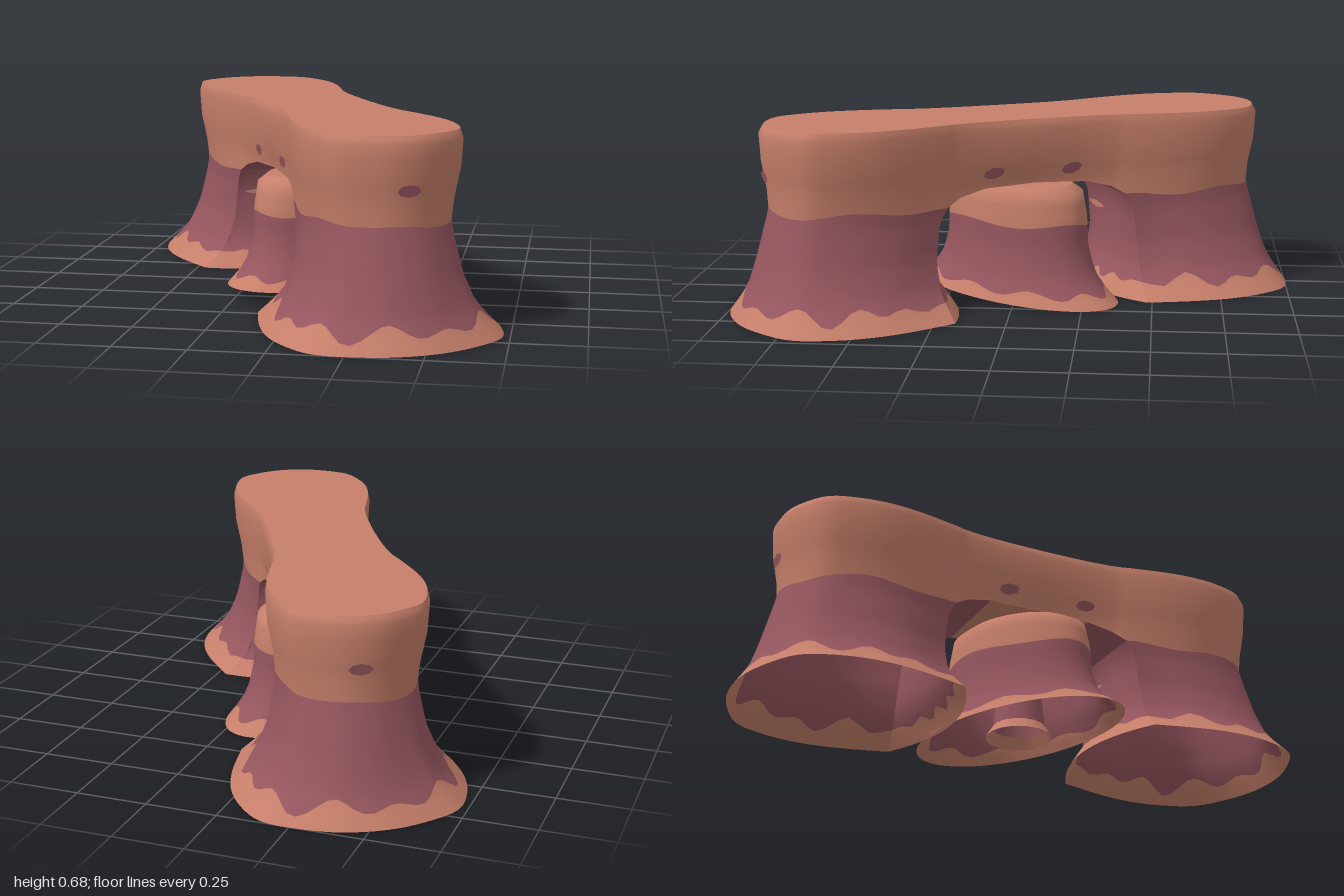
import * as THREE from 'three';
import { mergeVertices } from 'three/addons/utils/BufferGeometryUtils.js';

const sandstone = new THREE.MeshStandardMaterial({ color: 0xc67f6a, side: THREE.DoubleSide });
sandstone.name = 'sandstone';
const redRock = new THREE.MeshStandardMaterial({ color: 0x96565f, side: THREE.DoubleSide });
redRock.name = 'redRock';
const both = [sandstone, redRock];

// Quarter outline of the flat top: [half width, distance along the ridge]
const QUARTER = [[0.215, 0], [0.213, 0.1], [0.213, 0.2], [0.22, 0.3], [0.233, 0.36], [0.265, 0.5],
  [0.277, 0.62], [0.264, 0.73], [0.225, 0.83], [0.14, 0.89], [0.05, 0.922]];
const NECK = 0.36, NECK_INDEX = 4, STEPS = 4;

// Height profile: [y, width scale, length scale, inner wall position, corner pinch, wall bulge]
const LEVELS = [[0, 1.43, 1.235, 0.37, 0, 0.1], [0.05, 1.25, 1.16, 0.38, 0.05, 0.08],
  [0.1, 1.1, 1.09, 0.39, 0.08, 0.05], [0.2, 0.945, 1.035, 0.39, 0.07, 0.03],
  [0.33, 0.85, 1.0, 0.375, 0, 0.01], [0.38, 0.845, 1.03, 0.345, 0, 0],
  [0.45, 0.87, 1.01, 0.36, 0, 0], [0.55, 0.94, 1.04, 0.36, 0, 0],
  [0.645, 0.96, 1.05, 0.36, 0, 0], [0.675, 0.935, 1.02, 0.36, 0, 0]];

// Half profile of the small middle rock: [y, half width, half length]
const STUB = [[0, 0.235, 0.415], [0.05, 0.21, 0.355], [0.1, 0.193, 0.317], [0.2, 0.178, 0.288],
  [0.3, 0.178, 0.285], [0.4, 0.17, 0.265], [0.425, 0.145, 0.22]];

const lerp = THREE.MathUtils.lerp;

function sample(table, y) {
  let i = 1;
  while (i < table.length - 1 && table[i][0] < y) i++;
  const a = table[i - 1], b = table[i];
  const f = THREE.MathUtils.clamp((y - a[0]) / (b[0] - a[0]), 0, 1);
  return a.map((v, k) => lerp(v, b[k], f));
}

// Surface grid; columns run along, rows run up. colourOf(row) picks the material index.
function grid(cols, rows, at, colourOf = () => 0) {
  const pos = [], index = [], geo = new THREE.BufferGeometry();
  for (let j = 0; j < rows; j++) for (let i = 0; i < cols; i++) pos.push(...at(i, j));
  for (let j = 0; j < rows - 1; j++) {
    geo.addGroup(index.length, (cols - 1) * 6, colourOf(j));
    for (let i = 0; i < cols - 1; i++) {
      const a = j * cols + i, b = a + 1, c = a + cols, d = c + 1;
      index.push(a, c, b, b, c, d);
    }
  }
  geo.setAttribute('position', new THREE.Float32BufferAttribute(pos, 3));
  geo.setIndex(index);
  const merged = mergeVertices(geo, 1e-5);
  merged.computeVertexNormals();
  return merged;
}

function add(parent, name, geo, material) {
  const mesh = new THREE.Mesh(geo, material);
  mesh.name = name;
  parent.add(mesh);
  return mesh;
}

// Puts an outline point on the rock surface at height y
function place(t, s, y) {
  const [, kt, ks, s0, pinch] = sample(LEVELS, y);
  const a = Math.abs(s), f = Math.min(1, a / NECK);
  const along = a >= NECK ? s0 + (a - NECK) * ks : a * s0 / NECK;
  const corner = 1 - pinch * THREE.MathUtils.clamp(1 - (a - NECK) / 0.16, 0, 1);
  return [t * lerp(kt * kt, kt, f) * corner, y, Math.sign(s) * along];
}

// Point on a pillar's inner wall, u from -1 to 1 across it
function wallPoint(u, y, lift = 0) {
  const p = place(QUARTER[NECK_INDEX][0], NECK, y);
  return [p[0] * u, y, p[2] - sample(LEVELS, y)[5] * (1 - u * u) - lift];
}

// Wavy colour borders, flat at the inner corners
function around(t, s) {
  const sg = s < 0 ? -1 : 1;
  return { angle: Math.atan2(sg * s - 0.62, sg * t), fade: THREE.MathUtils.clamp((Math.abs(s) - NECK) * 10, 0, 1) };
}
function upperBorder(t, s) {
  const { angle, fade } = around(t, s);
  return 0.38 + fade * (0.006 * Math.sin(angle * 5) + 0.006 * Math.sin(angle * 3 + 1));
}
function lowerBorder(t, s) {
  const { angle, fade } = around(t, s);
  return 0.06 + fade * (0.018 * Math.sin(angle * 11) + 0.013 * Math.sin(angle * 7 + 2));
}
const ARCH = [[0, 0.44], [0.2, 0.433], [0.3, 0.41], [0.36, 0.38]];
const bottomOf = (t, s) => Math.abs(s) > NECK ? upperBorder(t, s) : sample(ARCH, Math.abs(s))[1];

export function createModel() {
  const model = new THREE.Group();
  model.name = 'rockArch';
  const ridge = new THREE.Group();
  ridge.name = 'ridge';
  ridge.rotation.y = Math.atan2(0.46, 0.89);
  model.add(ridge);

  // Smooth closed outline, and the part of it around one pillar
  const half = [...QUARTER, ...QUARTER.slice(1).map(([t, s]) => [-t, s]).reverse()];
  const corners = [...half, ...half.map(([t, s]) => [-t, -s])];
  const curve = new THREE.CatmullRomCurve3(corners.map(([t, s]) => new THREE.Vector3(t, 0, s)), true, 'catmullrom');
  const count = corners.length * STEPS, ring = [];
  for (let i = 0; i <= count; i++) {
    const p = curve.getPoint(i / count);
    ring.push([p.x, p.z]);
  }
  const mirrorIndex = 2 * QUARTER.length - 1 - NECK_INDEX;
  const lobe = ring.slice(NECK_INDEX * STEPS, mirrorIndex * STEPS + 1);

  // Upper block with its waist, bevel and flat top
  const heights = [0.45, 0.5, 0.55, 0.6, 0.645, 0.665, 0.675];
  add(ridge, 'upperBlock', grid(ring.length, heights.length + 1, (i, j) => {
    const [t, s] = ring[i];
    return place(t, s, j ? heights[j - 1] : bottomOf(t, s));
  }), sandstone);
  add(ridge, 'flatTop', grid(ring.length, 2, (i, j) => {
    const p = place(ring[i][0], ring[i][1], 0.675);
    return [j ? 0 : p[0], p[1], p[2]];
  }), sandstone);

  // Underside of the bridge, red towards the pillars
  const spans = [-0.36, -0.3, -0.2, -0.1, 0, 0.1, 0.2, 0.3, 0.36];
  const widthAt = s => sample(QUARTER.map(([t, d]) => [d, t]), Math.abs(s))[1];
  add(ridge, 'archUnderside', grid(7, spans.length, (i, j) => {
    const s = spans[j], p = place(widthAt(s), s, bottomOf(0, s));
    return [p[0] * (1 - i / 3), p[1], p[2]];
  }, j => (j < 2 || j > 5 ? 1 : 0)), both);

  // Two hollow pillars with flared feet and bulging inner walls
  const footRows = 4, bandRows = 10;
  const shell = grid(lobe.length, footRows + bandRows + 1, (i, j) => {
    const [t, s] = lobe[i], low = lowerBorder(t, s), high = upperBorder(t, s);
    return place(t, s, j <= footRows ? low * j / footRows : lerp(low, high, (j - footRows) / bandRows));
  }, j => (j < footRows ? 0 : 1));
  const wallHeights = [0, 0.03, 0.06, 0.1, 0.15, 0.2, 0.27, 0.33, 0.38];
  const wall = grid(25, wallHeights.length, (i, j) => {
    const u = i / 12 - 1;
    return wallPoint(u, wallHeights[j] + (j < 3 ? 0.0075 * j * Math.sin(i * 1.3) * (1 - u * u) : 0));
  }, j => (j < 2 ? 0 : 1));
  const streak = grid(9, 2, (i, j) =>
    wallPoint(0.1 + i * 0.095, 0.29 + (j ? 1 : -1) * 0.012 * Math.sin(Math.PI * (i + 0.5) / 9), 0.004));
  const disc = new THREE.CircleGeometry(1, 8);
  const forward = new THREE.Vector3(0, 0, 1);
  for (const [name, turn, sideSpots] of [['frontPillar', 0, [-0.135, 0.165]], ['backPillar', Math.PI, [-0.18, 0.13]]]) {
    const pillar = new THREE.Group();
    pillar.name = name;
    pillar.rotation.y = turn;
    add(pillar, 'pillarShell', shell, both);
    add(pillar, 'innerWall', wall, both);
    add(pillar, 'wallStreak', streak, sandstone);
    // Small red patches lying on the end and the side
    const addPatch = (label, t, s, x, y, normalOf) => {
      const p = place(t, s, y), q = place(t, s, y + 0.03);
      const normal = normalOf(q[0] - p[0], q[2] - p[2]).normalize();
      const patch = add(pillar, label, disc, redRock);
      patch.position.set(x ?? p[0], y, p[2]).addScaledVector(normal, 0.006);
      patch.quaternion.setFromUnitVectors(forward, normal);
      patch.scale.set(0.04, 0.021, 1);
    };
    addPatch('endPatch', 0.05, 0.925, 0, 0.5, (dx, dz) => new THREE.Vector3(0, -dz, 0.03));
    for (const s of sideSpots)
      addPatch('sidePatch', widthAt(s), s, undefined, 0.49, dx => new THREE.Vector3(0.03, -dx, 0));
    ridge.add(pillar);
  }

  // Small oval rock under the bridge, set across the ridge and slightly tilted
  const stub = new THREE.Group();
  stub.name = 'middleRock';
  stub.rotation.y = -0.53;
  model.add(stub);
  const N = 72;
  const stubPoint = (i, y, shrink = 1) => {
    const a = i / N * Math.PI * 2;
    const [, w, l] = sample(STUB, y);
    const x = Math.cos(a) * w * shrink, z = Math.sin(a) * l * shrink;
    return [x, y + (0.022 + 0.055 * z) * Math.max(0, 1 - y / 0.4), z];
  };
  const stubLow = i => 0.04 + 0.012 * Math.sin(i / N * Math.PI * 18);
  const stubHigh = i => 0.285 + 0.008 * Math.sin(i / N * Math.PI * 8);
  add(stub, 'middleBody', grid(N + 1, 13, (i, j) => {
    const low = stubLow(i), high = stubHigh(i);
    if (j <= 2) return stubPoint(i, low * j / 2);
    if (j <= 8) return stubPoint(i, lerp(low, high, (j - 2) / 6));
    return stubPoint(i, [0.32, 0.36, 0.4, 0.425][j - 9]);
  }, j => (j >= 2 && j < 8 ? 1 : 0)), both);
  add(stub, 'middleTop', grid(N + 1, 2, (i, j) => stubPoint(i, 0.425, j ? 0 : 1)), sandstone);

  // Narrow hollow core inside the small rock
  add(stub, 'coreFoot', new THREE.CylinderGeometry(0.095, 0.12, 0.04, 16, 1, true).translate(0, 0.02, 0), sandstone);
  add(stub, 'core', new THREE.CylinderGeometry(0.08, 0.095, 0.14, 16, 1, true).translate(0, 0.11, 0), redRock);
  return model;
}
